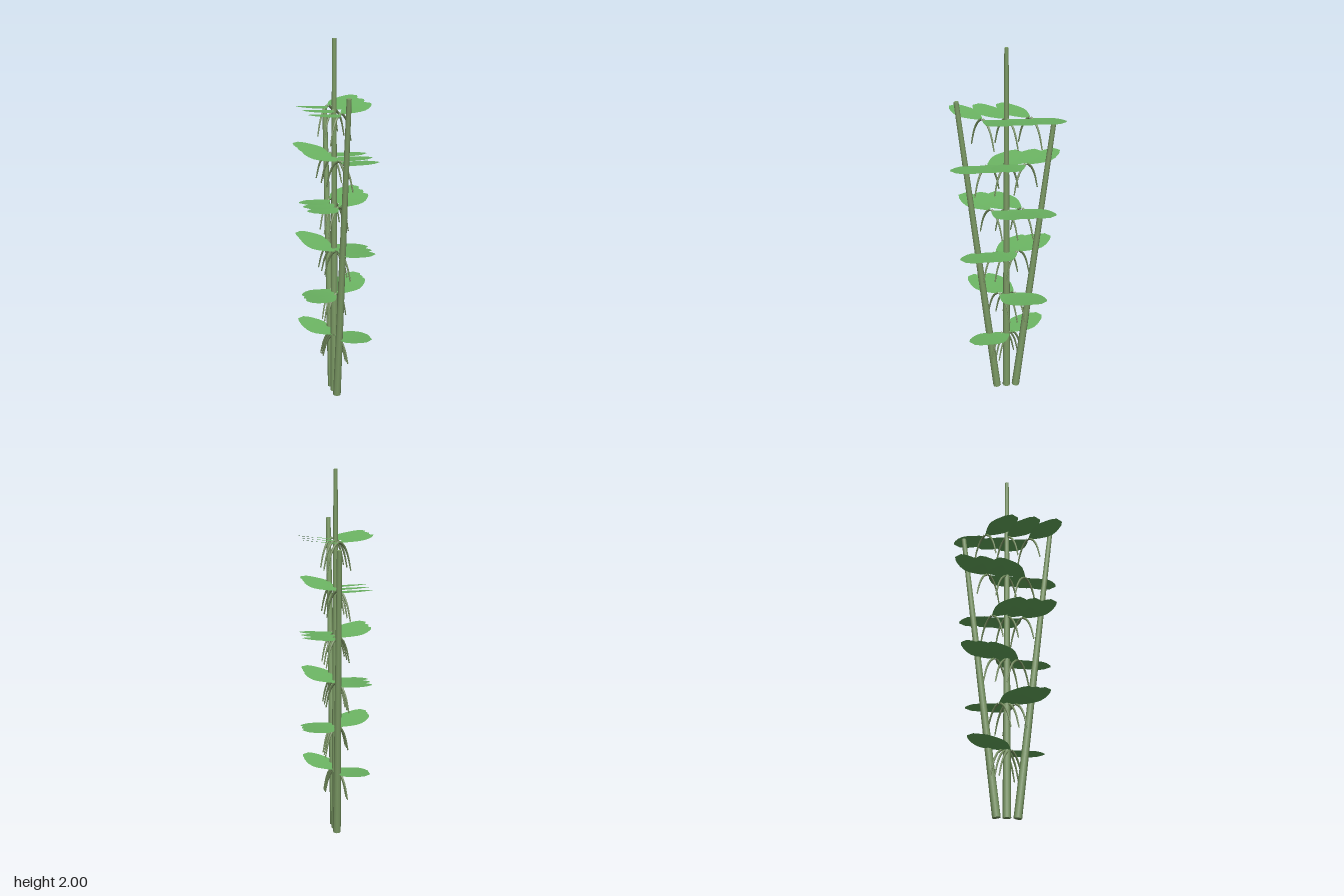
import * as THREE from 'three';

const stemMaterial = new THREE.MeshStandardMaterial({ color: 0x7d9c66 });
const stalkMaterial = new THREE.MeshStandardMaterial({ color: 0x768f5f });
const leafMaterial = new THREE.MeshStandardMaterial({ color: 0x6cb563, side: THREE.DoubleSide });

// Leaf blade along +z: rows of [distance, half width], rising gently to a blunt tip.
function leafGeometry() {
  const rows = [[0.005, 0.002], [0.03, 0.025], [0.06, 0.045], [0.09, 0.062], [0.12, 0.07],
    [0.155, 0.066], [0.185, 0.056], [0.212, 0.044], [0.236, 0.023]];
  const positions = [], index = [];
  rows.forEach(([z, w], i) => {
    const y = -0.012 + 0.028 * (z / 0.236) ** 1.5;
    for (const s of [-1, 0, 1]) positions.push(s * w, y, z);
    if (i === 0) return;
    for (let c = 0; c < 2; c++) {
      const a = (i - 1) * 3 + c, b = a + 3;
      index.push(a, b, a + 1, a + 1, b, b + 1);
    }
  });
  const geometry = new THREE.BufferGeometry();
  geometry.setAttribute('position', new THREE.Float32BufferAttribute(positions, 3));
  geometry.setIndex(index);
  geometry.computeVertexNormals();
  return geometry;
}

// Thin stalk arching out and down from the leaf joint, tapering to its end.
function stalkGeometry() {
  const curve = new THREE.CatmullRomCurve3([
    new THREE.Vector3(0, -0.008, 0.004),
    new THREE.Vector3(0, -0.03, 0.035),
    new THREE.Vector3(0, -0.08, 0.064),
    new THREE.Vector3(0, -0.165, 0.088),
  ]);
  const segments = 8, sides = 6;
  const geometry = new THREE.TubeGeometry(curve, segments, 0.007, sides);
  const p = geometry.attributes.position, v = new THREE.Vector3();
  for (let i = 0; i < p.count; i++) {
    const t = Math.floor(i / (sides + 1)) / segments;
    const centre = curve.getPointAt(t);
    v.fromBufferAttribute(p, i).sub(centre).multiplyScalar(1 - 0.5 * t).add(centre);
    p.setXYZ(i, v.x, v.y, v.z);
  }
  return geometry;
}

// Straight tapered stem between two points.
function makeStem(name, from, to, bottomRadius, topRadius) {
  const a = new THREE.Vector3(...from), b = new THREE.Vector3(...to);
  const direction = b.clone().sub(a);
  const mesh = new THREE.Mesh(
    new THREE.CylinderGeometry(topRadius, bottomRadius, direction.length(), 8), stemMaterial);
  mesh.name = name;
  mesh.position.copy(a).add(b).multiplyScalar(0.5);
  mesh.quaternion.setFromUnitVectors(new THREE.Vector3(0, 1, 0), direction.normalize());
  return mesh;
}

export function createModel() {
  const plant = new THREE.Group();
  plant.name = 'plant';

  plant.add(
    makeStem('centreStem', [0, 0, 0], [0, 2, 0], 0.022, 0.011),
    makeStem('leftStem', [0.045, 0, 0.033], [0.21, 1.73, 0.153], 0.022, 0.013),
    makeStem('rightStem', [-0.042, 0, -0.032], [-0.187, 1.6, -0.16], 0.022, 0.013));

  const leaf = leafGeometry(), stalk = stalkGeometry();

  // Six levels of opposite leaf pairs, turning a quarter at every level.
  for (let level = 0; level < 6; level++) {
    const y = 0.365 + 0.255 * level;
    for (const side of [-1, 0, 1]) {
      const pair = new THREE.Group();
      pair.name = 'leafPair';
      pair.position.set(side * (0.018 + 0.0165 * level), y, side * (0.012 + 0.0126 * level));
      pair.rotation.y = level % 2 === 0 ? Math.PI / 2 : 0;
      for (const turn of [0, Math.PI]) {
        const blade = new THREE.Mesh(leaf, leafMaterial);
        blade.name = 'leaf';
        blade.rotation.y = turn;
        const stem = new THREE.Mesh(stalk, stalkMaterial);
        stem.name = 'leafStalk';
        stem.rotation.y = turn;
        pair.add(blade, stem);
      }
      plant.add(pair);
    }
  }
  return plant;
}
